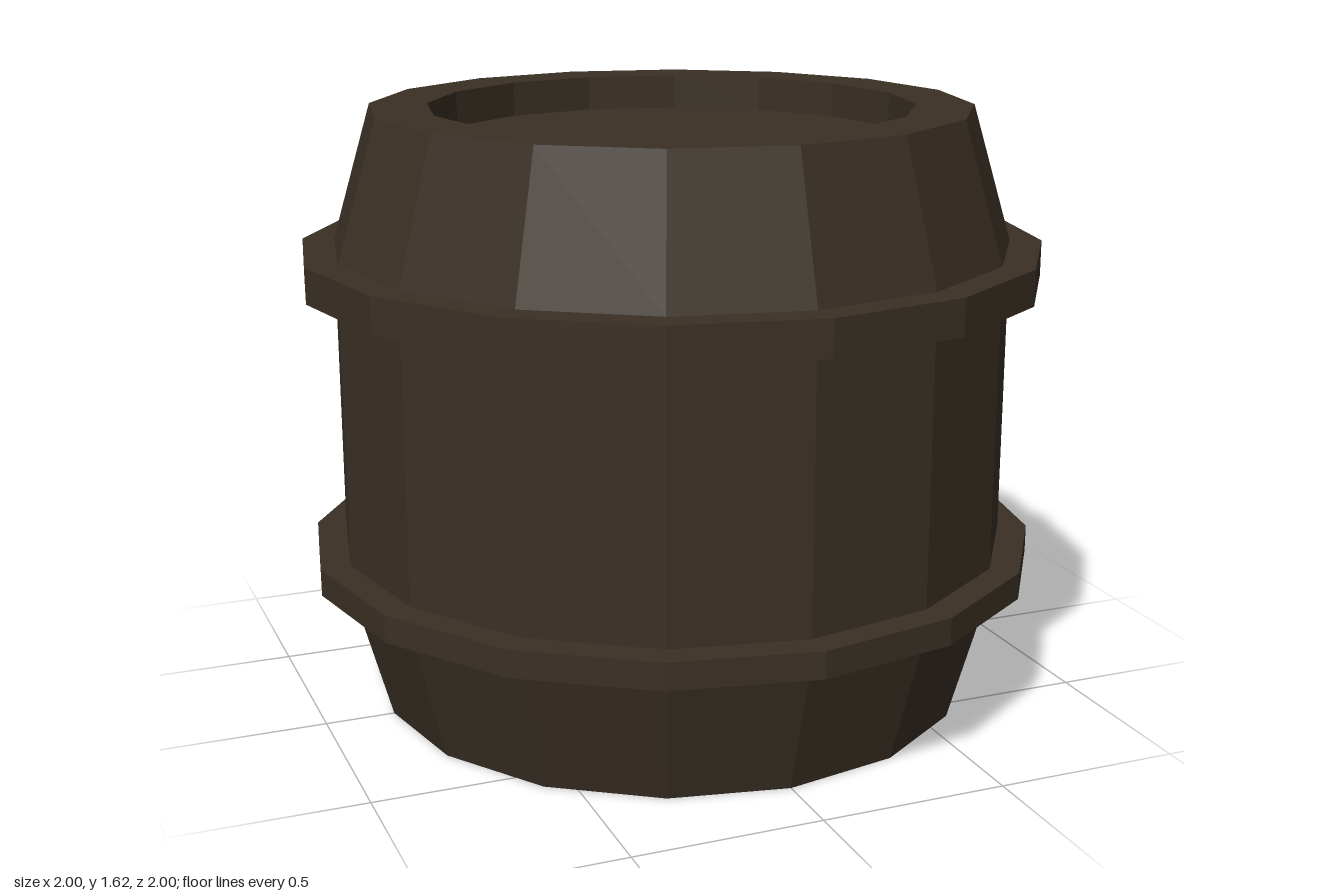
import * as THREE from 'three';

const SIDES = 16;

// Faceted solid of revolution from [radius, y] pairs, listed from bottom to top
function facetedLathe(name, profile, material) {
  const points = profile.map(([r, y]) => new THREE.Vector2(r, y));
  const geometry = new THREE.LatheGeometry(points, SIDES).toNonIndexed();
  geometry.computeVertexNormals();
  const mesh = new THREE.Mesh(geometry, material);
  mesh.name = name;
  return mesh;
}

export function createModel() {
  const group = new THREE.Group();
  group.name = 'barrel';

  const darkWood = new THREE.MeshStandardMaterial({ color: 0x3a3025 });
  darkWood.name = 'darkWood';

  // Staves, base, rim and the sunken lid
  group.add(facetedLathe('body', [
    [0, 0], [0.813, 0], [0.915, 0.367], [0.915, 1.25],
    [0.805, 1.62], [0.65, 1.62], [0.65, 1.525], [0, 1.525],
  ], darkWood));

  // Hoops
  const hoop = (name, radius, bottom, top) => facetedLathe(name, [
    [0.88, bottom], [radius, bottom], [radius, top], [0.88, top],
  ], darkWood);
  group.add(hoop('lowerHoop', 0.995, 0.367, 0.44));
  group.add(hoop('upperHoop', 1, 1.157, 1.253));

  return group;
}
